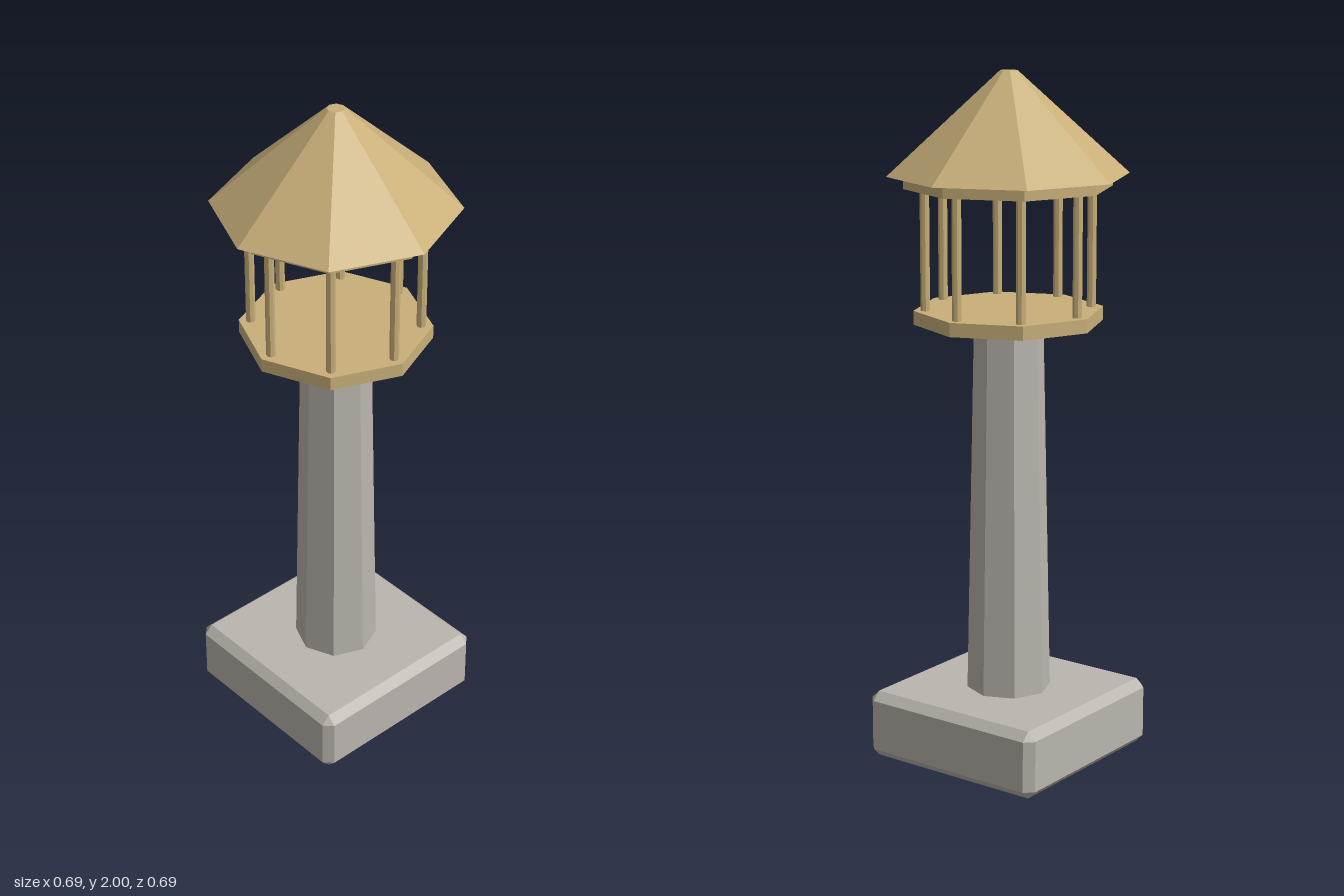
import * as THREE from 'three';
import { ConvexGeometry } from 'three/addons/geometries/ConvexGeometry.js';

export function createModel() {
  const model = new THREE.Group();
  model.name = 'watchtower';

  const stone = new THREE.MeshStandardMaterial({ color: 0xbab5ae, flatShading: true });
  stone.name = 'stone';
  const wood = new THREE.MeshStandardMaterial({ color: 0xc9b07a, flatShading: true });
  wood.name = 'wood';

  function add(name, geometry, material, parent = model) {
    const mesh = new THREE.Mesh(geometry, material);
    mesh.name = name;
    parent.add(mesh);
    return mesh;
  }

  // Eight-sided solid between two heights, corners on the axes
  function octagon(name, bottomRadius, topRadius, y0, y1, material, parent) {
    const geometry = new THREE.CylinderGeometry(topRadius, bottomRadius, y1 - y0, 8);
    geometry.translate(0, (y0 + y1) / 2, 0);
    return add(name, geometry, material, parent);
  }

  // Plinth: block with every edge chamfered
  const half = 0.297, height = 0.2, c = 0.025;
  const corners = [];
  for (const sx of [-1, 1]) for (const sy of [-1, 1]) for (const sz of [-1, 1]) {
    for (const [a, b, d] of [[0, c, c], [c, 0, c], [c, c, 0]]) {
      corners.push(new THREE.Vector3(
        sx * (half - a), height / 2 + sy * (height / 2 - b), sz * (half - d)));
    }
  }
  add('plinth', new ConvexGeometry(corners), stone);

  // Tapered shaft
  octagon('shaft', 0.123, 0.1, 0.2, 1.29, stone);

  // Lookout floor, top plate and roof
  octagon('floor', 0.272, 0.272, 1.29, 1.33, wood);
  octagon('topPlate', 0.297, 0.297, 1.675, 1.71, wood);
  octagon('roof', 0.345, 0.025, 1.71, 2, wood);

  // Ring of posts, one near each corner
  const posts = new THREE.Group();
  posts.name = 'posts';
  model.add(posts);
  for (let i = 0; i < 8; i++) {
    const angle = (i * Math.PI) / 4;
    const post = octagon('post', 0.0135, 0.0135, 1.33, 1.675, wood, posts);
    post.position.set(Math.sin(angle) * 0.238, 0, Math.cos(angle) * 0.238);
  }

  return model;
}
